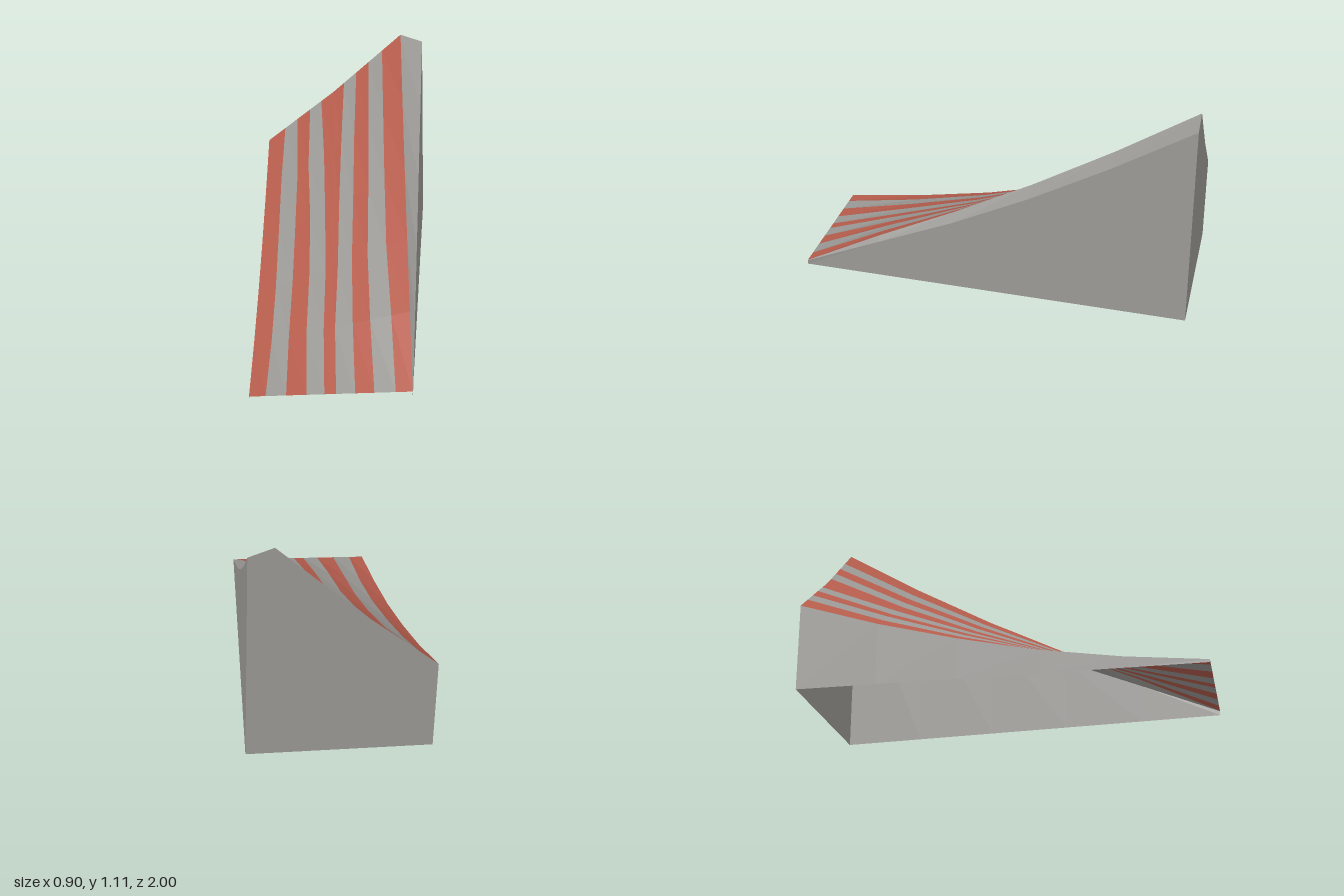
import * as THREE from 'three';

const red = new THREE.MeshStandardMaterial({ color: 0xb55c4c, side: THREE.DoubleSide, flatShading: true });
red.name = 'brick red';
const grey = new THREE.MeshStandardMaterial({ color: 0x9a9894, side: THREE.DoubleSide, flatShading: true });
grey.name = 'concrete grey';

// Cross-sections run from the back (z = -1) to the front (z = 1)
const rows = [-1, -0.6, -0.2, 0.2, 0.6, 1];
const lowY = [0.46, 0.327, 0.217, 0.125, 0.06, 0.015];
const ridgeY = [1.11, 0.865, 0.64, 0.437, 0.25, 0.05];
const shoulderY = [1.07, 0.825, 0.6, 0.4, 0.225, 0.048];

// Stripe borders across the ramp, one list per border
const borders = [
  [-0.36, -0.365, -0.36, -0.355, -0.355, -0.362],
  [-0.288, -0.273, -0.27, -0.268, -0.27, -0.265],
  [-0.215, -0.212, -0.19, -0.182, -0.183, -0.17],
  [-0.15, -0.125, -0.11, -0.098, -0.098, -0.085],
  [-0.02, -0.03, -0.035, -0.035, -0.042, -0.03],
  [0.05, 0.042, 0.04, 0.037, 0.045, 0.06],
  [0.12, 0.12, 0.12, 0.117, 0.13, 0.15],
  [0.195, 0.2, 0.205, 0.212, 0.233, 0.25],
];

const vec = (x, y, z) => new THREE.Vector3(x, y, z);
// A straight line sampled at every row
const line = (back, front) => rows.map(z => back.clone().lerp(front, (z + 1) / 2));
// The same line with its heights replaced
const raise = (points, heights) => points.map((p, i) => vec(p.x, heights[i], p.z));

// Strip of quads between two matching point lists
function ribbon(name, a, b, material) {
  const points = [];
  for (let i = 0; i < a.length - 1; i++) {
    points.push(a[i], a[i + 1], b[i + 1], a[i], b[i + 1], b[i]);
  }
  const geometry = new THREE.BufferGeometry().setFromPoints(points);
  geometry.computeVertexNormals();
  const mesh = new THREE.Mesh(geometry, material);
  mesh.name = name;
  return mesh;
}

export function createModel() {
  const model = new THREE.Group();
  model.name = 'twistedRamp';

  // Lengthwise edges
  const low = raise(line(vec(-0.455, 0, -1), vec(-0.44, 0, 1)), lowY);
  const ridge = raise(line(vec(0.298, 0, -1), vec(0.33, 0, 1)), ridgeY);
  const middle = low.map((p, i) => {
    const m = p.clone().lerp(ridge[i], 0.5);
    m.y -= 0.01 * (1 - rows[i]);
    return m;
  });
  const shoulder = raise(line(vec(0.42, 0, -1), vec(0.332, 0, 1)), shoulderY);
  const footLeft = line(vec(-0.443, 0.016, -1), vec(-0.44, 0, 1));
  const footRight = line(vec(0.45, 0.043, -1), vec(0.33, 0.026, 1));

  // Point on the ramp surface for a row and x
  const onRamp = (i, x) => {
    const [p, q] = x < middle[i].x ? [low[i], middle[i]] : [middle[i], ridge[i]];
    return p.clone().lerp(q, (x - p.x) / (q.x - p.x));
  };

  // Striped running surface; the middle red stripe is split at the fold
  const ramp = new THREE.Group();
  ramp.name = 'rampSurface';
  const edges = [low, ...borders.map(b => b.map((x, i) => onRamp(i, x))), ridge];
  for (let s = 0; s < edges.length - 1; s++) {
    const material = s % 2 ? grey : red;
    const name = (s % 2 ? 'greyStripe' : 'redStripe') + (s + 1);
    if (s === 4) {
      ramp.add(ribbon(name + 'Left', edges[s], middle, material));
      ramp.add(ribbon(name + 'Right', middle, edges[s + 1], material));
    } else {
      ramp.add(ribbon(name, edges[s], edges[s + 1], material));
    }
  }
  model.add(ramp);

  // Bevel beside the ridge and the two side walls; the underside stays open
  model.add(ribbon('bevel', ridge, shoulder, grey));
  model.add(ribbon('leftSideWall', shoulder, footRight, grey));
  model.add(ribbon('rightSideWall', footLeft, low, grey));

  // Back wall
  const backTop = [low[0], middle[0], ridge[0], shoulder[0]];
  const backFoot = [0, 0.42, 0.84, 1].map(t => footLeft[0].clone().lerp(footRight[0], t));
  model.add(ribbon('backWall', backTop, backFoot, grey));

  return model;
}
